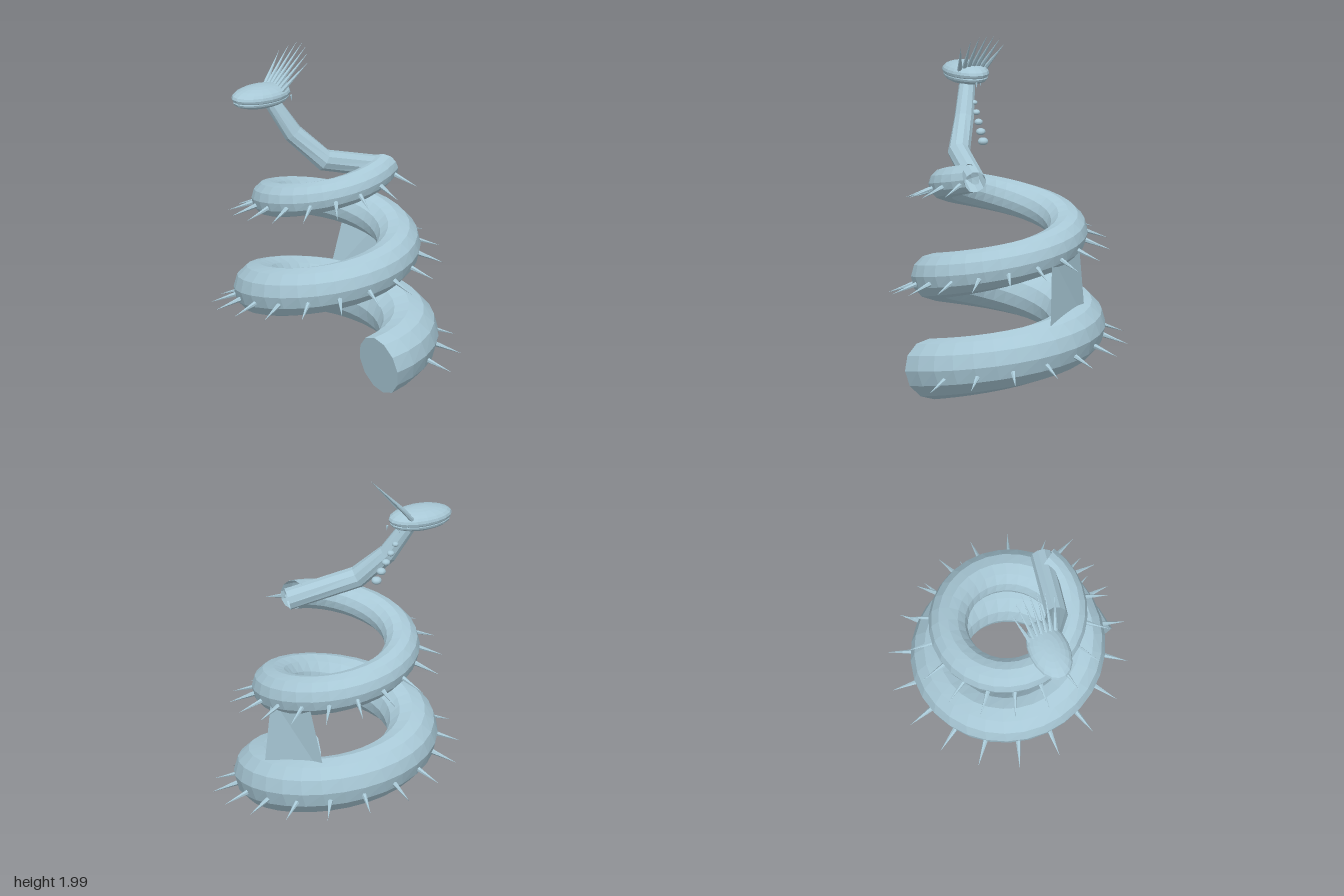
import * as THREE from 'three';

const V = (x, y, z) => new THREE.Vector3(x, y, z);
const UP = V(0, 1, 0);
const DEG = Math.PI / 180;

// Helix: centre line, outward direction and radius at an angle in degrees
const END = 750;
const outward = (a) => V(Math.cos(a * DEG), 0, -Math.sin(a * DEG));
const coilPoint = (a) => outward(a).multiplyScalar(0.44 - 0.085 * a / 540)
  .add(V(0.02, 0.175 + 0.525 * a / 360, 0.02));
const coilRadius = (a) => 0.17 - 0.064 * a / 540;

function flat(geometry) {
  const g = geometry.index ? geometry.toNonIndexed() : geometry;
  g.computeVertexNormals();
  return g;
}

// Skin round cross-sections { p, n, t, r } along a path
function sweep(rings, sides, capStart) {
  const pos = [], idx = [];
  rings.forEach(({ p, n, t, r }) => {
    const b = t.clone().cross(n);
    for (let j = 0; j < sides; j++) {
      const f = (j / sides) * Math.PI * 2;
      const q = p.clone().addScaledVector(n, r * Math.cos(f)).addScaledVector(b, r * Math.sin(f));
      pos.push(q.x, q.y, q.z);
    }
  });
  for (let i = 0; i < rings.length - 1; i++) {
    for (let j = 0; j < sides; j++) {
      const k = (j + 1) % sides, a = i * sides, c = a + sides;
      idx.push(a + j, a + k, c + j, a + k, c + k, c + j);
    }
  }
  if (capStart) for (let j = 1; j < sides - 1; j++) idx.push(0, j + 1, j);
  const g = new THREE.BufferGeometry();
  g.setAttribute('position', new THREE.Float32BufferAttribute(pos, 3));
  g.setIndex(idx);
  return flat(g);
}

export function createModel() {
  const model = new THREE.Group();
  const skin = new THREE.MeshStandardMaterial({ color: 0xa8c8d6, side: THREE.DoubleSide });
  skin.name = 'pale blue';

  const add = (name, geometry, parent = model) => {
    const mesh = new THREE.Mesh(geometry, skin);
    mesh.name = name;
    parent.add(mesh);
    return mesh;
  };
  const group = (name) => {
    const g = new THREE.Group();
    g.name = name;
    model.add(g);
    return g;
  };
  const spike = (name, base, tip, radius, sides, parent) => {
    const dir = tip.clone().sub(base);
    const mesh = add(name, flat(new THREE.ConeGeometry(radius, dir.length(), sides)), parent);
    mesh.position.copy(base).add(tip).multiplyScalar(0.5);
    mesh.quaternion.setFromUnitVectors(UP, dir.normalize());
  };
  const ellipsoid = (name, p, rx, ry, rz, parent) => {
    const mesh = add(name, flat(new THREE.SphereGeometry(1, 18, 12)), parent);
    mesh.position.copy(p);
    mesh.scale.set(rx, ry, rz);
  };

  // Coiled body, tapering upwards
  const coil = [];
  const steps = 62;
  for (let i = 0; i <= steps; i++) {
    const a = (i / steps) * END;
    const t = coilPoint(a + 0.5).sub(coilPoint(a - 0.5)).normalize();
    const n = outward(a);
    n.addScaledVector(t, -n.dot(t)).normalize();
    coil.push({ p: coilPoint(a), n, t, r: coilRadius(a) });
  }
  add('coiledBody', sweep(coil, 12, true));

  // Row of spikes along the outside of the coil, pointing a little downwards
  const spikes = group('bodySpikes');
  for (let i = 0; i < 37; i++) {
    const a = 30 + i * 19.9;
    const dir = outward(a).multiplyScalar(Math.cos(20 * DEG)).add(V(0, -Math.sin(20 * DEG), 0));
    const r = coilRadius(a);
    spike('bodySpike', coilPoint(a).addScaledVector(dir, r - 0.015),
      coilPoint(a).addScaledVector(dir, r + 0.145), 0.015, 6, spikes);
  }

  // Bent neck from the end of the coil to the head
  const path = [V(0.29, 1.252, -0.18), V(0.205, 1.35, 0.21), V(0.105, 1.51, 0.352),
    V(0.04, 1.69, 0.448), V(0.03, 1.74, 0.47)];
  const neckRadii = [0.062, 0.062, 0.055, 0.045, 0.042];
  add('neck', sweep(path.map((p, i) => {
    const t = V(0, 0, 0);
    if (i > 0) t.add(p.clone().sub(path[i - 1]).normalize());
    if (i < path.length - 1) t.add(path[i + 1].clone().sub(p).normalize());
    t.normalize();
    return { p, t, n: UP.clone().cross(t).normalize(), r: neckRadii[i] };
  }), 10, false));

  // Flattened head with lower jaw
  const head = group('head');
  ellipsoid('skull', V(0.02, 1.745, 0.51), 0.115, 0.056, 0.187, head);
  ellipsoid('lowerJaw', V(0.02, 1.72, 0.51), 0.108, 0.045, 0.178, head);

  // Fan of crest spikes leaning back
  const crest = group('crest');
  for (let i = -3; i <= 3; i++) {
    spike('crestSpike', V(0.02 + i * 0.025, 1.77 - i * i * 0.001, 0.43),
      V(0.022 + i * 0.045, 1.997 - i * i * 0.008, 0.222 + i * i * 0.007), 0.015, 6, crest);
  }

  // Small barbs under the back of the head
  const barbs = group('headBarbs');
  spike('barb', V(0.045, 1.71, 0.32), V(0.045, 1.675, 0.315), 0.007, 5, barbs);
  spike('barb', V(-0.005, 1.71, 0.37), V(-0.005, 1.675, 0.37), 0.007, 5, barbs);

  // Hanging string of beads behind the neck
  const beads = group('beads');
  for (let i = 0; i < 5; i++) {
    const r = 0.029 - i * 0.0025;
    ellipsoid('bead', V(0.037, 1.39 + i * 0.05, 0.25 + i * 0.029), r, r * 0.75, r, beads);
  }

  // Thin web panel joining two turns of the coil at the back
  const web = new THREE.BufferGeometry();
  web.setAttribute('position', new THREE.Float32BufferAttribute([
    -0.36, 0.42, -0.24, -0.035, 0.42, -0.47, -0.06, 0.85, -0.44, -0.29, 0.85, -0.31], 3));
  web.setIndex([0, 2, 1, 0, 3, 2]);
  add('webPanel', flat(web));

  return model;
}
